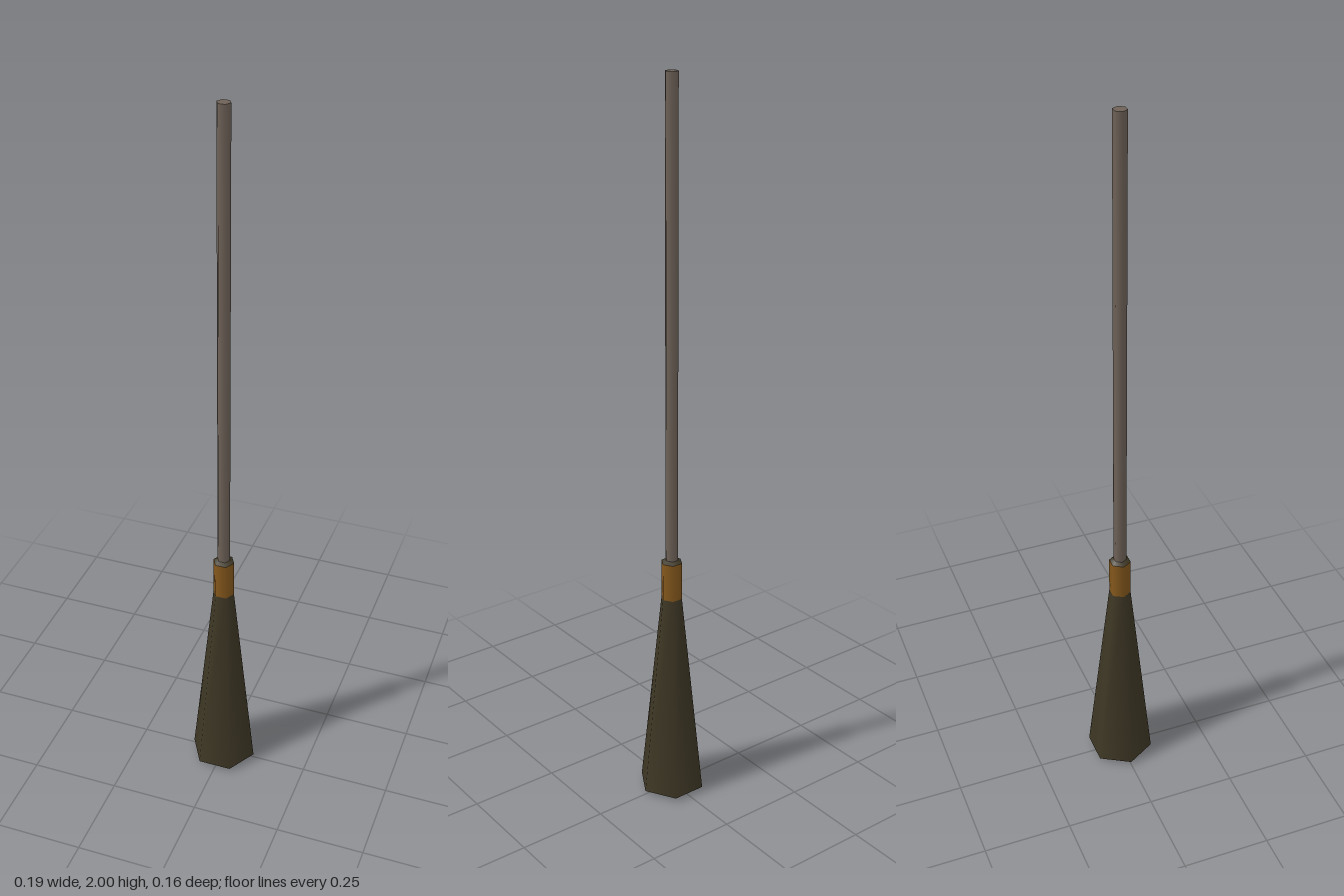
import * as THREE from 'three';

const material = (name, color) => {
  const m = new THREE.MeshStandardMaterial({ color });
  m.name = name;
  return m;
};

export function createModel() {
  const broom = new THREE.Group();
  broom.name = 'broom';

  const wood = material('greyWood', 0x6e6258);
  const binding = material('brownBinding', 0x85581c);
  const straw = material('darkStraw', 0x3e3725);

  // Six-sided section from y0 to y1, with corners on the x axis
  function section(name, mat, y0, r0, y1, r1, open = true) {
    const g = new THREE.CylinderGeometry(r1, r0, y1 - y0, 6, 1, open, Math.PI / 6);
    g.translate(0, (y0 + y1) / 2, 0);
    const mesh = new THREE.Mesh(g, mat);
    mesh.name = name;
    broom.add(mesh);
  }

  // Handle
  section('handle', wood, 0.7, 0.018, 2, 0.018, false);

  // Binding around the neck, with the straw ends closing in on the handle
  section('binding', binding, 0.6, 0.03, 0.707, 0.03);
  section('strawEnds', straw, 0.707, 0.03, 0.715, 0.017);

  // Flared bristles with a slightly domed underside
  section('bristles', straw, 0.01, 0.094, 0.6, 0.03);
  section('bristleTips', straw, 0, 0, 0.01, 0.094);

  return broom;
}
